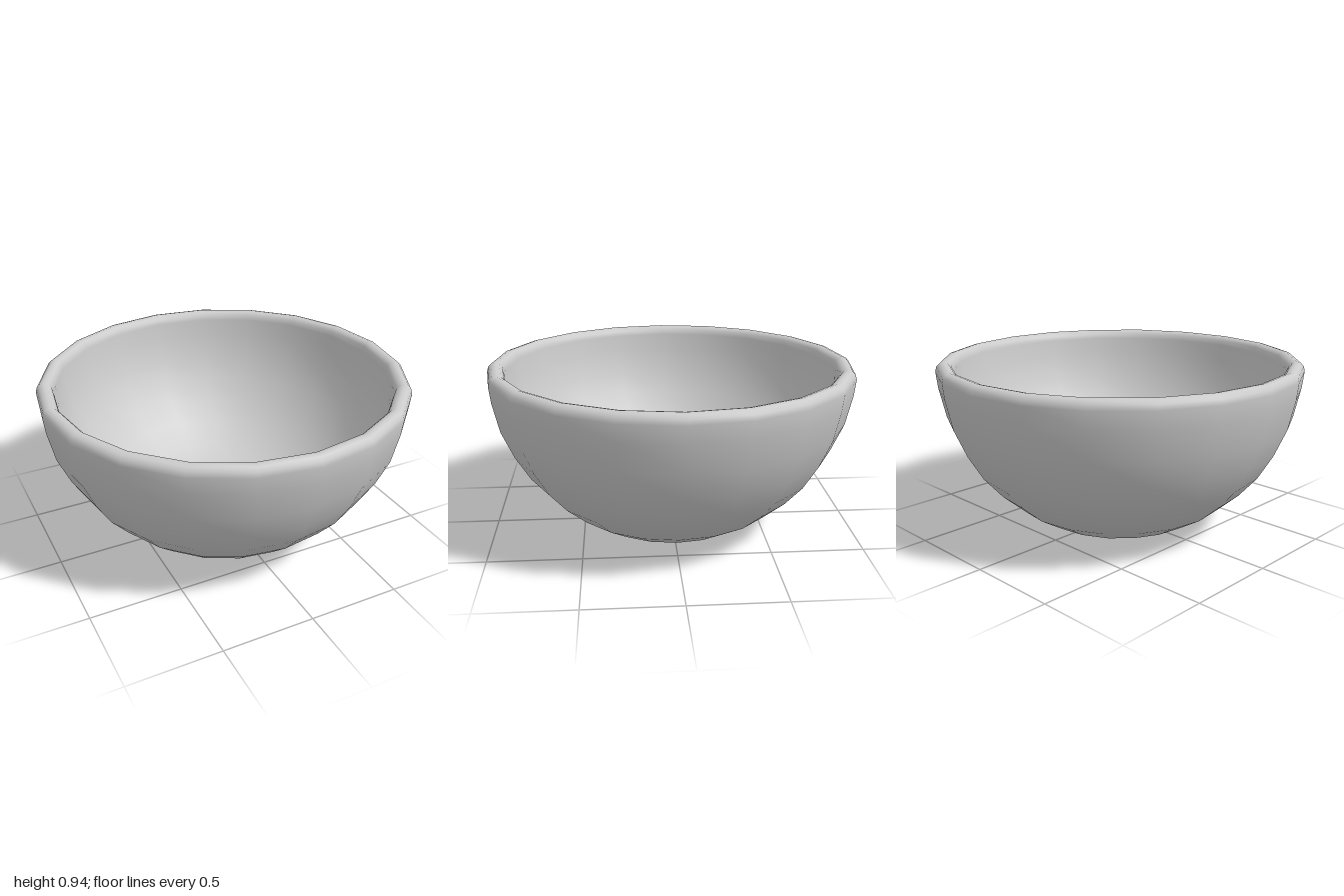
import * as THREE from 'three';

const SIDES = 20;

export function createModel() {
  const group = new THREE.Group();
  const material = new THREE.MeshStandardMaterial({ color: 0xcccccc });

  // Outer wall from the shallow base up to the rim
  const outer = [
    [0, 0], [0.15, 0.01], [0.3, 0.02], [0.45, 0.05], [0.59, 0.135], [0.71, 0.24], [0.81, 0.355],
    [0.89, 0.49], [0.955, 0.64], [0.99, 0.8], [1, 0.89],
  ];
  // Rounded lip
  const lip = [[0.993, 0.917], [0.977, 0.934], [0.955, 0.94], [0.932, 0.934], [0.916, 0.917], [0.91, 0.89]];
  // Inner wall follows the outer one at an even thickness
  const inner = [
    [0.9, 0.8], [0.868, 0.66], [0.81, 0.53], [0.735, 0.41], [0.645, 0.305], [0.535, 0.215],
    [0.41, 0.145], [0.275, 0.11], [0.14, 0.1], [0, 0.09],
  ];

  const profile = [...outer, ...lip, ...inner].map(([r, y]) => new THREE.Vector2(r, y));
  const bowl = new THREE.Mesh(new THREE.LatheGeometry(profile, SIDES), material);
  bowl.name = 'bowl';
  group.add(bowl);
  return group;
}
